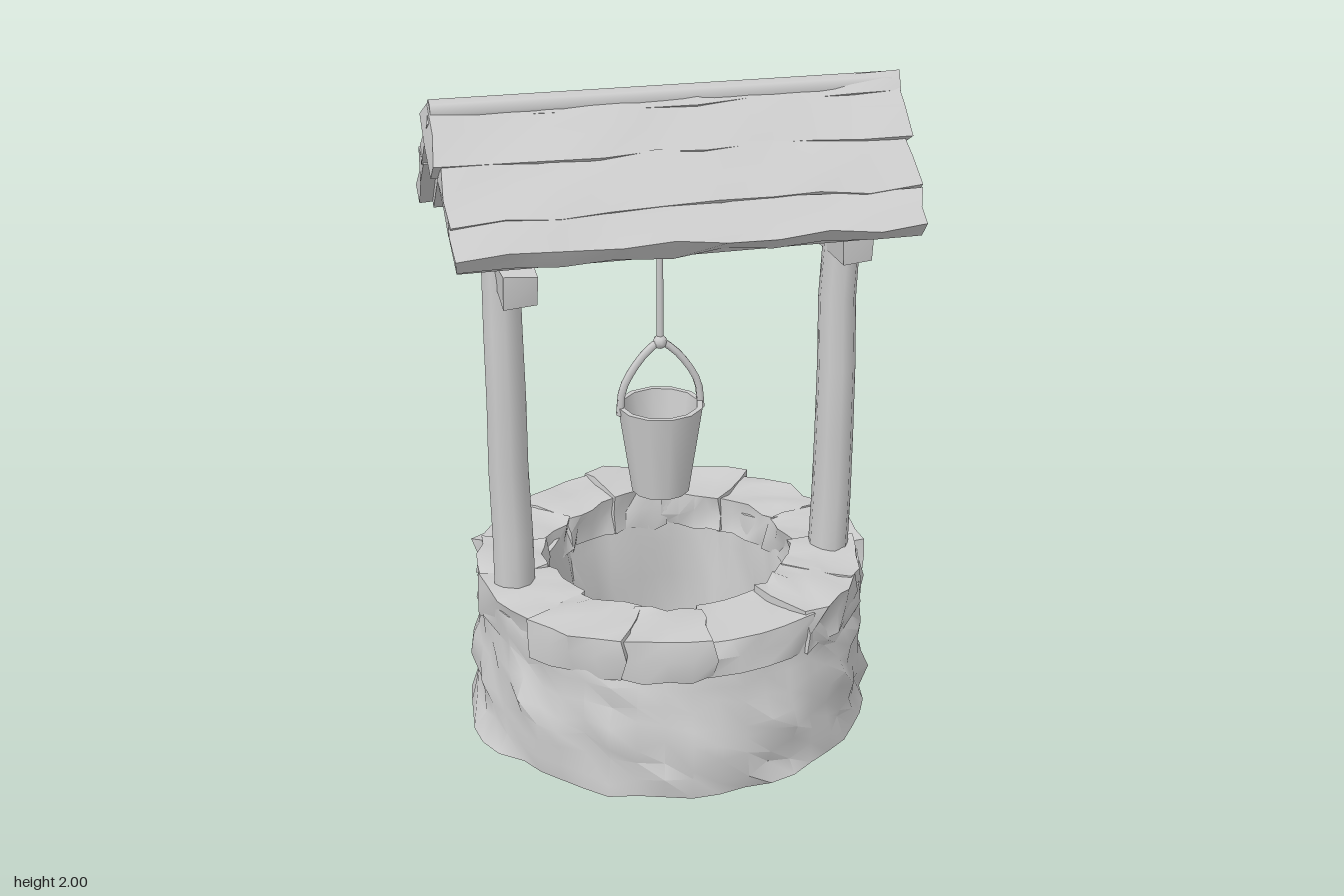
import * as THREE from 'three';
import { toCreasedNormals } from 'three/addons/utils/BufferGeometryUtils.js';

const grey = new THREE.MeshStandardMaterial({ color: 0xcccccc });
grey.name = 'pale grey';

// repeatable pseudo-random value in -1..1
function rnd(a, b = 0, c = 0) {
  const s = Math.sin(a * 12.9898 + b * 78.233 + c * 37.719) * 43758.5453;
  return (s - Math.floor(s)) * 2 - 1;
}

function mesh(name, geometry, parent) {
  const m = new THREE.Mesh(geometry, grey);
  m.name = name;
  parent.add(m);
  return m;
}

// shifts vertices by amounts that depend on position only, so seams stay closed
function roughen(geo, ax, ay, az, seed) {
  const p = geo.attributes.position;
  for (let i = 0; i < p.count; i++) {
    const [x, y, z] = [p.getX(i), p.getY(i), p.getZ(i)].map((v) => Math.round(v * 500));
    p.setXYZ(i, p.getX(i) + ax * rnd(x + seed, y, z), p.getY(i) + ay * rnd(x, y + seed, z),
      p.getZ(i) + az * rnd(x, y, z + seed));
  }
  return geo;
}

// rough stone drum, staggered courses of stones
function wallGeometry() {
  const seg = 48, rows = 9;
  const pts = [new THREE.Vector2(0, 0)];
  for (let j = 0; j < rows; j++) {
    const t = j / (rows - 1);
    pts.push(new THREE.Vector2(0.64 - 0.05 * t, 0.47 * t));
  }
  for (const [r, y] of [[0.41, 0.47], [0.4, 0.33], [0.41, 0.19], [0.4, 0.04], [0, 0.04]]) pts.push(new THREE.Vector2(r, y));
  const geo = new THREE.LatheGeometry(pts, seg);
  const p = geo.attributes.position, n = pts.length;
  for (let k = 0; k < p.count; k++) {
    const i = Math.floor(k / n) % seg, j = k % n;
    if (j === 0 || j === n - 1) continue;
    const course = Math.floor(j / 2);
    const stone = Math.floor(((i + (course % 2) * 2) % seg) / 4);
    const r = Math.hypot(p.getX(k), p.getZ(k));
    const f = 1 + (0.017 * rnd(course, stone, 3) + 0.014 * rnd(i, j, 5)) / r;
    const dy = j > 1 && j < rows ? 0.02 * rnd(i, j, 9) : 0;
    p.setXYZ(k, p.getX(k) * f, p.getY(k) + dy, p.getZ(k) * f);
  }
  return toCreasedNormals(geo, 0.75);
}

// wedge-shaped rim stone: a box bent around the ring
function rimStone(a0, a1, r0, r1, y0, y1, seed) {
  const geo = roughen(new THREE.BoxGeometry(1, 1, 1, 4, 2, 3), 0.04, 0.08, 0.07, seed);
  const p = geo.attributes.position;
  for (let i = 0; i < p.count; i++) {
    const a = THREE.MathUtils.lerp(a0, a1, p.getX(i) + 0.5);
    const r = THREE.MathUtils.lerp(r0, r1, p.getZ(i) + 0.5);
    p.setXYZ(i, r * Math.sin(a), THREE.MathUtils.lerp(y0, y1, p.getY(i) + 0.5), r * Math.cos(a));
  }
  return toCreasedNormals(geo, 0.7);
}

// one roof slope; planks are [start, end, xMin, xMax, yaw] measured down from the ridge
function roofSlope(name, planks, parent, turn) {
  const side = new THREE.Group();
  side.name = name;
  side.position.y = 1.985;
  side.rotation.set(0.74, turn, 0, 'YXZ');
  planks.forEach(([s0, s1, x0, x1, yaw], i) => {
    const box = new THREE.BoxGeometry(x1 - x0, 0.06, s1 - s0, 9, 1, 2);
    const geo = toCreasedNormals(roughen(box, 0.01, 0.007, 0.01, i * 7 + turn * 10), 0.7);
    const m = mesh('roofPlank', geo, side);
    m.position.set((x0 + x1) / 2, -0.03 - 0.004 * i, (s0 + s1) / 2);
    m.rotation.y = yaw;
  });
  mesh('roofLining', new THREE.BoxGeometry(1.31, 0.04, 0.49), side).position.set(-0.01, -0.068, 0.245);
  parent.add(side);
}

export function createModel() {
  const model = new THREE.Group();
  model.name = 'wishingWell';

  // stone base
  const base = new THREE.Group();
  base.name = 'stoneBase';
  base.scale.set(1, 1, 0.96);
  model.add(base);
  mesh('stoneWall', wallGeometry(), base);
  const stones = 13;
  for (let i = 0; i < stones; i++) {
    const step = (Math.PI * 2) / stones;
    const a0 = (i + 0.12 * rnd(i, 1)) * step;
    const a1 = (i + 1 + 0.12 * rnd((i + 1) % stones, 1)) * step;
    mesh('rimStone', rimStone(a0 - 0.015, a1 + 0.015, 0.39 + 0.015 * rnd(i, 2), 0.61 + 0.018 * rnd(i, 3),
      0.39, 0.515 + 0.012 * rnd(i, 4), i * 11), base);
  }

  // posts and the short beams across them
  for (const s of [-1, 1]) {
    const post = new THREE.CylinderGeometry(0.054, 0.064, 1.34, 9, 6);
    const p = post.attributes.position;
    for (let i = 0; i < p.count; i++) {
      const h = Math.round((p.getY(i) / 1.34 + 0.5) * 6);
      p.setX(i, p.getX(i) + 0.006 * rnd(h, s));
      p.setZ(i, p.getZ(i) + 0.008 * rnd(h, s, 2) + 0.008 * (h / 6));
    }
    post.computeVertexNormals();
    mesh(s < 0 ? 'rightPost' : 'leftPost', toCreasedNormals(post, 0.9), model)
      .position.set(s < 0 ? -0.512 : 0.5, 1.12, 0.088);

    const box = roughen(new THREE.BoxGeometry(0.095, 0.095, 0.5, 1, 1, 3), 0.008, 0.006, 0.008, s * 5);
    const beam = mesh('crossBeam', toCreasedNormals(box, 0.6), model);
    beam.position.set(s < 0 ? -0.49 : 0.495, s < 0 ? 1.53 : 1.55, 0.01);
    beam.rotation.x = s < 0 ? 0.1 : 0;
  }

  // gabled plank roof
  roofSlope('frontRoof', [[0, 0.21, -0.69, 0.67, 0], [0.2, 0.385, -0.675, 0.665, 0.012],
    [0.37, 0.5, -0.67, 0.66, -0.01]], model, 0);
  roofSlope('backRoof', [[0, 0.25, -0.685, 0.685, -0.01], [0.255, 0.495, -0.63, 0.685, 0.014]], model, Math.PI);
  const ridge = mesh('ridge', new THREE.CylinderGeometry(0.035, 0.035, 1.34, 8), model);
  ridge.rotation.z = Math.PI / 2;
  ridge.position.set(-0.01, 1.958, 0);

  // rope
  const cx = -0.027;
  mesh('rope', new THREE.CylinderGeometry(0.009, 0.011, 0.72, 6), model).position.set(cx, 1.56, 0);
  mesh('ropeKnot', new THREE.SphereGeometry(0.022, 8, 6), model).position.set(cx, 1.215, 0);

  // bucket with thin walls
  const profile = [[0, 0.73], [0.09, 0.73], [0.09, 0.73], [0.132, 1.015], [0.132, 1.015], [0.115, 1.015],
    [0.115, 1.015], [0.078, 0.76], [0.078, 0.76], [0, 0.76]].map(([r, y]) => new THREE.Vector2(r, y));
  mesh('bucket', new THREE.LatheGeometry(profile, 12), model).position.set(cx, 0, 0.005);

  // bucket handle, two straps meeting at the knot
  for (const s of [-1, 1]) {
    const path = new THREE.CatmullRomCurve3([
      new THREE.Vector3(cx, 1.22, 0), new THREE.Vector3(cx + s * 0.05, 1.18, 0.003),
      new THREE.Vector3(cx + s * 0.115, 1.08, 0.005), new THREE.Vector3(cx + s * 0.127, 0.99, 0.005)]);
    mesh('bucketHandle', new THREE.TubeGeometry(path, 8, 0.012, 6), model);
  }
  return model;
}
